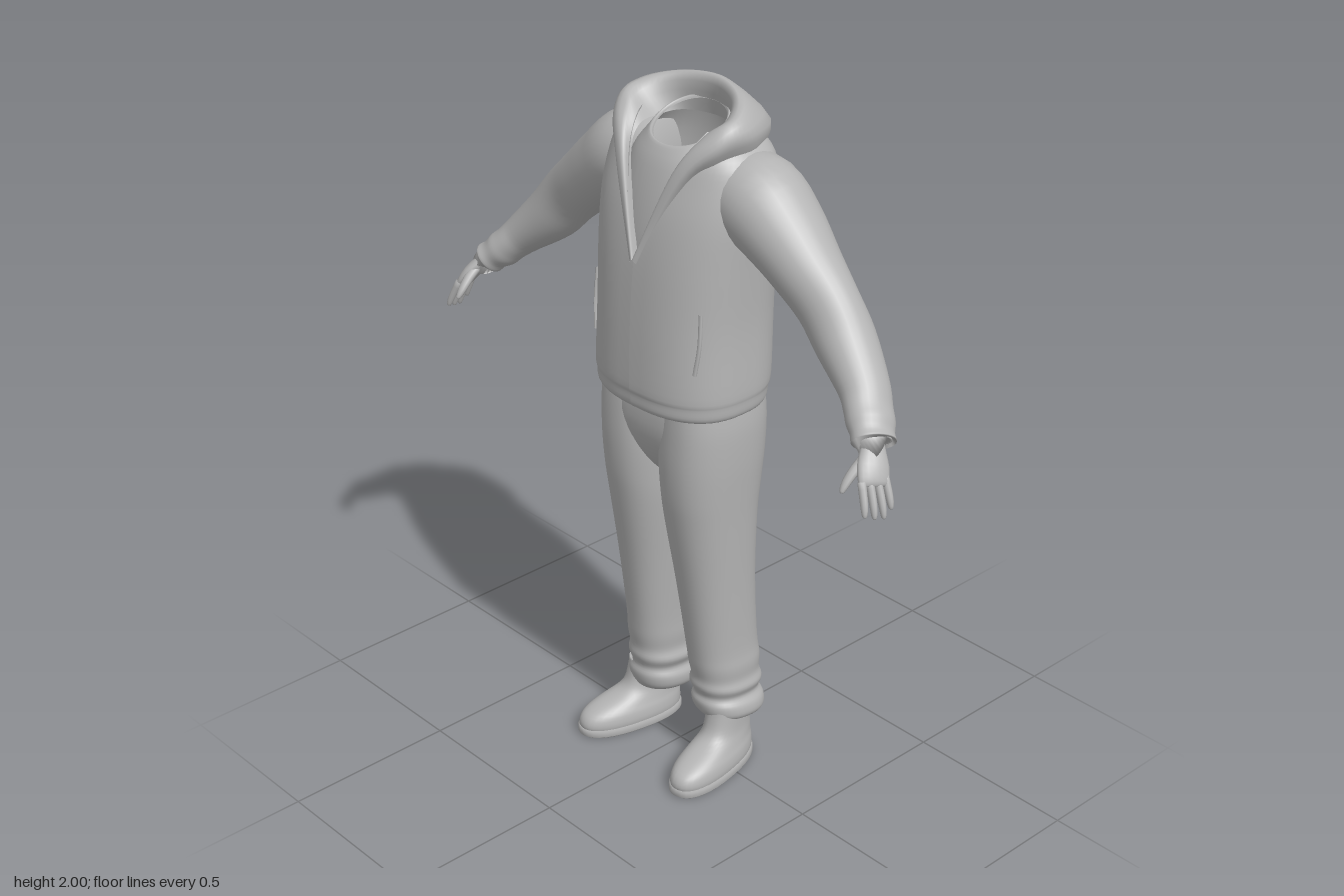
import * as THREE from 'three';

const V = (x, y, z) => new THREE.Vector3(x, y, z);
const grey = new THREE.MeshStandardMaterial({ color: 0xb4b4b4, side: THREE.DoubleSide });
grey.name = 'plain grey';

// Catmull-Rom interpolation of every column of a station table
function refine(table, steps) {
  const out = [], at = (i) => table[Math.min(Math.max(i, 0), table.length - 1)];
  for (let i = 0; i < table.length - 1; i++) {
    for (let s = 0; s < steps; s++) {
      const t = s / steps;
      out.push(at(i).map((b, k) => {
        const a = at(i - 1)[k], c = at(i + 1)[k], d = at(i + 2)[k];
        return b + 0.5 * t * (c - a + t * (2 * a - 5 * b + 4 * c - d + t * (3 * (b - c) + d - a)));
      }));
    }
  }
  out.push(at(table.length - 1));
  return out;
}

// Skin between cross-sections; closed joins each ring, caps fill the ends
function loft(rings, closed = true, capStart = false, capEnd = false) {
  const n = rings[0].length, pos = [], idx = [];
  rings.forEach((r) => r.forEach((p) => pos.push(p.x, p.y, p.z)));
  for (let i = 0; i < rings.length - 1; i++) {
    for (let j = 0; j < (closed ? n : n - 1); j++) {
      const k = (j + 1) % n, a = i * n + j, b = i * n + k;
      idx.push(a, b, b + n, a, b + n, a + n);
    }
  }
  const cap = (ring, start, flip) => {
    const c = ring.reduce((s, p) => s.add(p), V(0, 0, 0)).divideScalar(n);
    const id = pos.length / 3;
    pos.push(c.x, c.y, c.z);
    for (let j = 0; j < n; j++) {
      const a = start + j, b = start + (j + 1) % n;
      idx.push(id, flip ? b : a, flip ? a : b);
    }
  };
  if (capStart) cap(rings[0], 0, true);
  if (capEnd) cap(rings[rings.length - 1], (rings.length - 1) * n, false);
  const g = new THREE.BufferGeometry();
  g.setAttribute('position', new THREE.Float32BufferAttribute(pos, 3));
  g.setIndex(idx);
  g.computeVertexNormals();
  return g;
}

// Horizontal rounded ring; gap leaves an opening at the front
function ring(y, x0, x1, zf, zb, e = 2.4, n = 40, gap = 0) {
  const cx = (x0 + x1) / 2, rx = (x1 - x0) / 2, cz = (zf + zb) / 2, rz = (zf - zb) / 2;
  const g = Math.asin(Math.pow(Math.min(gap / rx, 0.92), e / 2));
  const bend = (v) => Math.sign(v) * Math.pow(Math.abs(v), 2 / e);
  return Array.from({ length: n }, (_, j) => {
    const t = g + (2 * Math.PI - 2 * g) * j / n;
    return V(cx + rx * bend(Math.sin(t)), y, cz + rz * bend(Math.cos(t)));
  });
}

// Elliptical tube through stations [x, y, z, thickness, width]
function limb(table, steps, n, wide = V(0, 0, 1)) {
  const st = refine(table, steps), pts = st.map((s) => V(s[0], s[1], s[2]));
  const rings = st.map((s, i) => {
    const t = pts[Math.min(i + 1, pts.length - 1)].clone().sub(pts[Math.max(i - 1, 0)]).normalize();
    const b = wide.clone().addScaledVector(t, -wide.dot(t)).normalize();
    const a = b.clone().cross(t);
    return Array.from({ length: n }, (_, j) => {
      const u = 2 * Math.PI * j / n;
      return pts[i].clone().addScaledVector(b, -Math.cos(u) * s[4]).addScaledVector(a, -Math.sin(u) * s[3]);
    });
  });
  return loft(rings, true, true, true);
}

function mirror(geo) {
  const g = geo.clone().scale(-1, 1, 1), ix = g.index.array;
  for (let i = 0; i < ix.length; i += 3) [ix[i + 1], ix[i + 2]] = [ix[i + 2], ix[i + 1]];
  g.computeVertexNormals();
  return g;
}

export function createModel() {
  const model = new THREE.Group();
  const add = (name, geo) => {
    const m = new THREE.Mesh(geo, grey);
    m.name = name;
    model.add(m);
  };
  const pair = (name, geo) => {
    add('left' + name, geo);
    add('right' + name, mirror(geo));
  };

  // Jacket body, open in a V at the chest: [y, half width, front z, back z]
  const body = refine([
    [1.19, 0.222, 0.15, -0.16], [1.155, 0.23, 0.168, -0.175], [1.165, 0.24, 0.18, -0.188],
    [1.195, 0.243, 0.182, -0.192], [1.23, 0.246, 0.186, -0.202], [1.4, 0.241, 0.18, -0.21],
    [1.57, 0.248, 0.166, -0.208], [1.7, 0.256, 0.143, -0.208], [1.8, 0.25, 0.11, -0.2],
    [1.86, 0.225, 0.087, -0.188], [1.92, 0.15, 0.055, -0.155],
  ], 4);
  const bodyRings = body.map(([y, w, f, b]) => {
    const gap = Math.max(0, y - 1.57) * 0.35;
    const r = ring(y, -w, w, f, b, 2.5, 56, gap);
    const first = r[0].clone();
    return [...r, V(-first.x, first.y, first.z)];
  });
  add('jacketBody', loft(bodyRings, false));

  // Pocket welts
  pair('PocketWelt', new THREE.TubeGeometry(new THREE.CatmullRomCurve3(
    [V(0.193, 1.3, 0.13), V(0.202, 1.38, 0.122), V(0.2, 1.47, 0.115)]), 10, 0.006, 6));

  // Undershirt with a tilted neck opening
  const shirt = refine([
    [1.45, 0.2, 0.15, -0.15, 0], [1.6, 0.2, 0.143, -0.15, 0], [1.72, 0.19, 0.122, -0.15, 0],
    [1.82, 0.165, 0.096, -0.15, 0.012], [1.88, 0.125, 0.075, -0.14, 0.03], [1.905, 0.105, 0.062, -0.125, 0.04],
    [1.895, 0.1, 0.054, -0.118, 0.04],
  ], 3);
  add('undershirt', loft(shirt.map(([y, w, f, b, tilt]) => {
    const r = ring(y, -w, w, f, b, 2.1, 40), mid = (f + b) / 2;
    r.forEach((p) => { p.y -= tilt * (p.z - mid) / ((f - b) / 2); });
    return r;
  })));

  // Hood and lapels: sections of five points from back centre to chest point
  const half = [
    [0, 1.89, -0.13, 0, 1.98, -0.11, 0, 2.0, -0.135, 0, 1.91, -0.208, 0, 1.81, -0.19],
    [0.09, 1.89, -0.1, 0.1, 1.972, -0.08, 0.115, 1.99, -0.105, 0.14, 1.91, -0.182, 0.11, 1.83, -0.185],
    [0.11, 1.89, -0.03, 0.155, 1.95, -0.01, 0.188, 1.968, -0.03, 0.218, 1.92, -0.055, 0.2, 1.86, -0.07],
    [0.106, 1.88, 0.05, 0.14, 1.92, 0.052, 0.185, 1.935, 0.045, 0.203, 1.9, 0.045, 0.18, 1.85, 0.04],
    [0.085, 1.8, 0.095, 0.09, 1.82, 0.116, 0.112, 1.83, 0.116, 0.124, 1.81, 0.113, 0.12, 1.79, 0.085],
    [0, 1.57, 0.15, 0, 1.575, 0.171, 0.008, 1.57, 0.171, 0.012, 1.565, 0.166, 0.01, 1.56, 0.15],
  ];
  const flip = (s) => s.map((v, i) => (i % 3 ? v : -v));
  const hood = refine([...half.slice(1).reverse().map(flip), ...half], 6);
  add('hood', loft(hood.map((s) => {
    const section = [0, 3, 6, 9, 12].map((k) => [s[k], s[k + 1], s[k + 2]]);
    return refine(section, 3).map((p) => V(...p));
  }), false));

  // Sleeves with a gathered cuff
  pair('Sleeve', limb([
    [0.12, 1.76, -0.06, 0.1, 0.11], [0.23, 1.745, -0.056, 0.125, 0.124], [0.32, 1.69, -0.055, 0.11, 0.115],
    [0.41, 1.62, -0.05, 0.094, 0.096], [0.49, 1.55, -0.047, 0.087, 0.08], [0.56, 1.475, -0.04, 0.08, 0.08],
    [0.65, 1.395, -0.013, 0.061, 0.07], [0.69, 1.355, 0.01, 0.052, 0.067], [0.715, 1.33, 0.026, 0.052, 0.066],
    [0.735, 1.312, 0.04, 0.044, 0.06], [0.75, 1.298, 0.05, 0.046, 0.06], [0.748, 1.3, 0.049, 0.03, 0.04],
  ], 4, 28));

  // Hands: palm, four curled fingers and a thumb
  const across = V(-0.25, 0, 0.97).normalize();
  pair('Palm', limb([
    [0.725, 1.325, 0.04, 0.022, 0.032], [0.755, 1.295, 0.06, 0.021, 0.032], [0.782, 1.26, 0.085, 0.021, 0.043],
    [0.8, 1.228, 0.1, 0.016, 0.043], [0.805, 1.218, 0.104, 0.008, 0.035],
  ], 3, 18, across));
  [0.078, 0.095, 0.09, 0.08].forEach((len, i) => {
    const k = (i - 1.5) * 0.022, x = 0.798 - k * 0.25, z = 0.1 + k * 0.97;
    const f = [[0, 0, 0.011], [0.2, 0.45, 0.0105], [0.33, 0.78, 0.009], [0.38, 0.97, 0.006], [0.38, 1, 0.002]];
    pair('Finger' + (i + 1), limb(f.map(([dx, dy, r]) =>
      [x + dx * len, 1.235 - dy * len, z + dy * (0.012 + k * 0.2), r, r]), 2, 10));
  });
  pair('Thumb', limb([
    [0.762, 1.28, 0.085, 0.014, 0.016], [0.758, 1.255, 0.12, 0.014, 0.014], [0.755, 1.228, 0.148, 0.011, 0.012],
    [0.755, 1.207, 0.164, 0.007, 0.007], [0.755, 1.203, 0.167, 0.002, 0.002],
  ], 2, 10, V(1, 0, 0)));

  // Trouser seat
  add('trouserSeat', loft(refine([
    [0.9, 0.05, 0.05, -0.06], [0.96, 0.12, 0.1, -0.115], [1.03, 0.195, 0.132, -0.148],
    [1.1, 0.226, 0.143, -0.163], [1.18, 0.222, 0.138, -0.165],
  ], 3).map(([y, w, f, b]) => ring(y, -w, w, f, b, 2.6)), true, true, true));

  // Trouser legs, the hem bunched and slightly lower on the right
  const leg = (drop) => loft(refine([
    [0.19, 0.08, 0.19, 0.02, -0.12], [0.155, 0.072, 0.208, 0.03, -0.148], [0.17, 0.05, 0.224, 0.044, -0.164],
    [0.2, 0.045, 0.222, 0.05, -0.165], [0.225, 0.056, 0.207, 0.044, -0.154], [0.255, 0.042, 0.217, 0.054, -0.162],
    [0.285, 0.05, 0.21, 0.052, -0.153], [0.33, 0.045, 0.212, 0.06, -0.155], [0.4, 0.042, 0.208, 0.068, -0.147],
    [0.6, 0.026, 0.213, 0.094, -0.136], [0.8, 0.006, 0.222, 0.125, -0.14], [0.9, 0, 0.228, 0.139, -0.15],
    [1.0, -0.004, 0.234, 0.145, -0.16], [1.1, 0.0, 0.235, 0.143, -0.163], [1.17, 0.005, 0.228, 0.138, -0.16],
  ], 4).map(([y, a, b, f, k]) => {
    const r = ring(y, a, b, f, k, 2.3, 36);
    const low = Math.max(0, 0.4 - y) / 0.24;
    r.forEach((p) => { p.y += low * (0.12 * (p.z + 0.06) - drop); });
    return r;
  }));
  add('leftTrouserLeg', leg(0));
  add('rightTrouserLeg', mirror(leg(0.035)));

  // Shoes, toes turned out: [y, half width, toe z, heel z]
  const place = (g) => g.rotateY(0.19).translate(0.166, 0, 0);
  pair('Shoe', place(loft(refine([
    [0.015, 0.066, 0.204, -0.12], [0.035, 0.07, 0.209, -0.122], [0.06, 0.067, 0.196, -0.122],
    [0.08, 0.06, 0.158, -0.12], [0.105, 0.053, 0.085, -0.118], [0.13, 0.05, 0.055, -0.114],
    [0.17, 0.049, 0.042, -0.11], [0.205, 0.047, 0.036, -0.1],
  ], 3).map(([y, w, f, b]) => ring(y, -w, w, f, b, 2.3, 36)), true, true, true)));
  pair('ShoeSole', place(loft([
    [0, 0.069, 0.206, -0.122], [0.005, 0.073, 0.212, -0.126], [0.022, 0.073, 0.213, -0.126], [0.026, 0.068, 0.206, -0.121],
  ].map(([y, w, f, b]) => ring(y, -w, w, f, b, 2.3, 36)), true, true, true)));

  return model;
}
